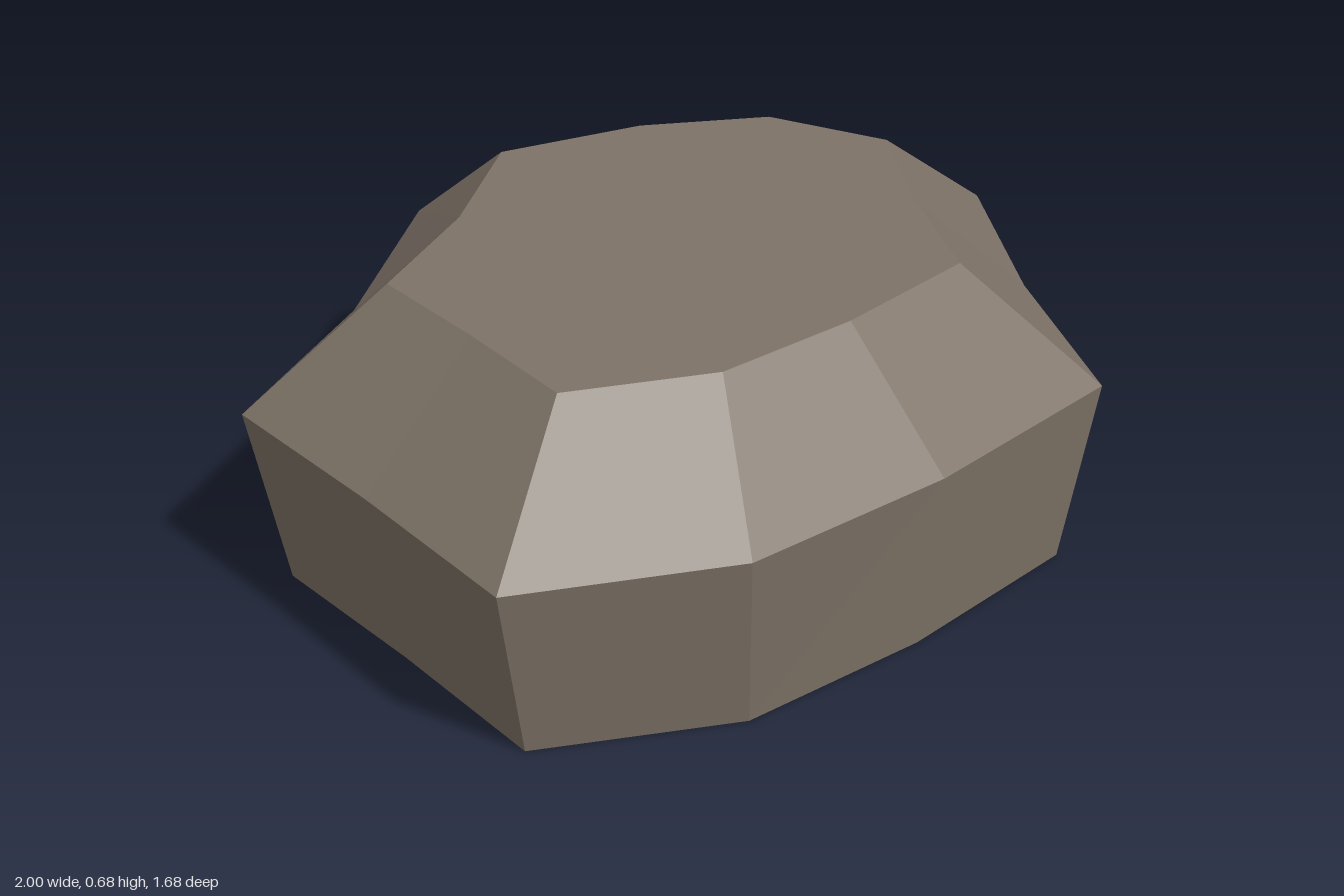
import * as THREE from 'three';

// Widest outline of the stone as [x, z], clockwise from the back when seen from above
const OUTLINE = [
  [0.12, -0.845], [0.57, -0.61], [0.90, -0.305], [1.0, 0.125],
  [0.69, 0.46], [0.41, 0.84], [-0.11, 0.795], [-0.60, 0.685],
  [-1.0, 0.38], [-0.895, -0.06], [-0.81, -0.49], [-0.33, -0.625],
];

// Horizontal cross-sections: height, x scale, z scale, z shift
const BASE = { y: 0, sx: 0.9, sz: 0.93, dz: 0 };
const RIM = { y: 0.425, sx: 1, sz: 1, dz: 0 };
const CROWN = { y: 0.68, sx: 0.67, sz: 0.655, dz: 0.007 };

const ring = ({ y, sx, sz, dz }) => OUTLINE.map(([x, z]) => [x * sx, y, z * sz + dz]);

function facets(name, triangles, material) {
  const geometry = new THREE.BufferGeometry();
  geometry.setAttribute('position', new THREE.Float32BufferAttribute(triangles.flat(2), 3));
  geometry.computeVertexNormals(); // unshared corners give flat facets
  const mesh = new THREE.Mesh(geometry, material);
  mesh.name = name;
  return mesh;
}

// Band of quads between two cross-sections
function band(name, lower, upper, material) {
  const a = ring(lower), b = ring(upper), triangles = [];
  a.forEach((p, i) => {
    const j = (i + 1) % a.length;
    triangles.push([a[j], p, b[i]], [a[j], b[i], b[j]]);
  });
  return facets(name, triangles, material);
}

// Flat cap fanned out from the middle
function cap(name, section, up, material) {
  const r = ring(section), centre = [0, section.y, 0];
  const triangles = r.map((p, i) => {
    const q = r[(i + 1) % r.length];
    return up ? [centre, q, p] : [centre, p, q];
  });
  return facets(name, triangles, material);
}

export function createModel() {
  const stone = new THREE.MeshStandardMaterial({ color: 0x7d7266 });
  stone.name = 'stone';

  const rock = new THREE.Group();
  rock.name = 'rock';
  rock.add(
    cap('underside', BASE, false, stone),
    band('sides', BASE, RIM, stone),
    band('bevel', RIM, CROWN, stone),
    cap('flatTop', CROWN, true, stone),
  );
  return rock;
}
